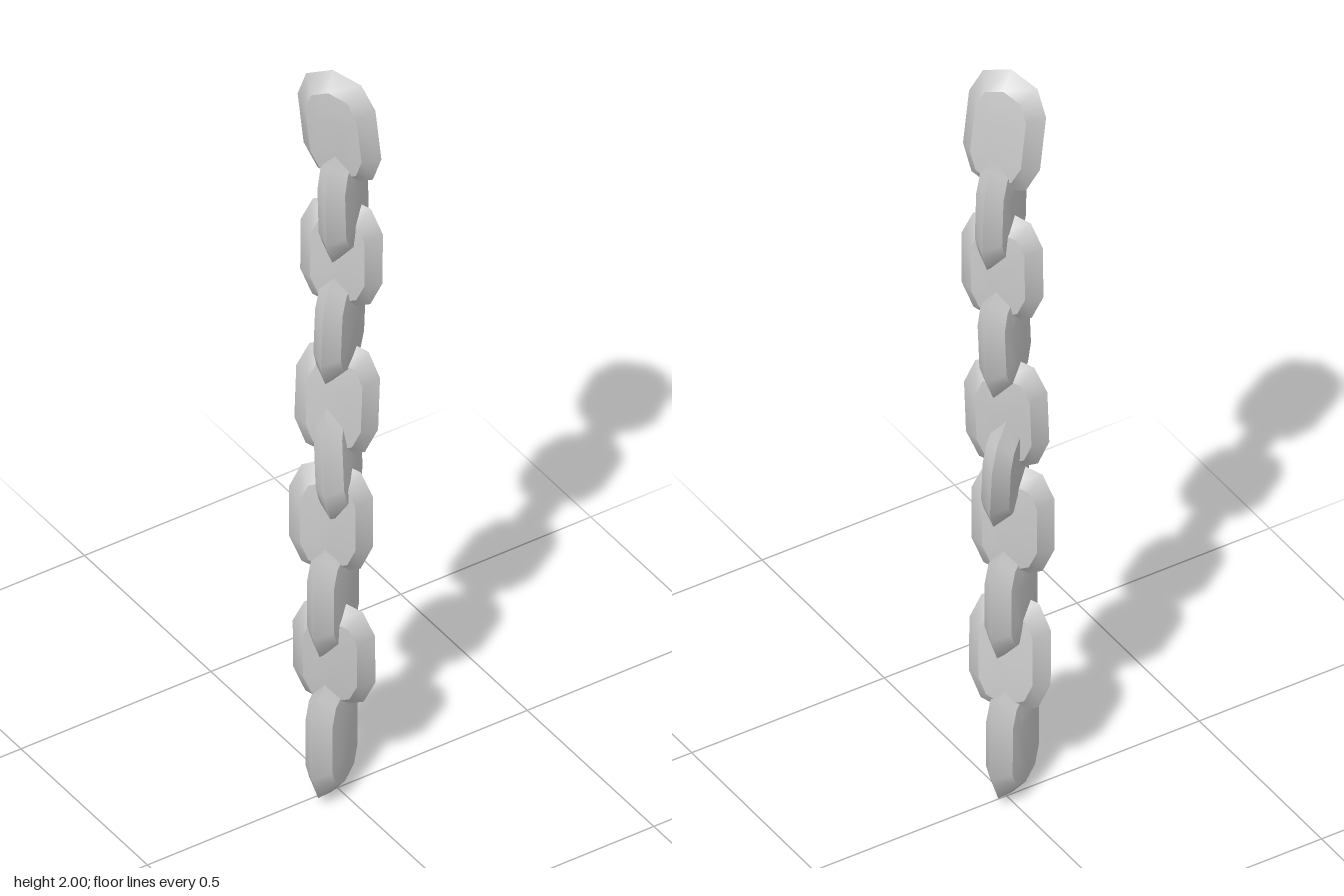
import * as THREE from 'three';
import { toCreasedNormals } from 'three/addons/utils/BufferGeometryUtils.js';

// Stadium outline: two half circles of four segments, joined by straight sides
function outline(r, h, z) {
  const pts = [];
  for (const side of [1, -1]) {
    for (let i = 0; i <= 4; i++) {
      const a = (i / 4) * Math.PI;
      pts.push([side * r * Math.cos(a), side * (h + r * Math.sin(a)), z]);
    }
  }
  return pts;
}

// Solid link: stacked outlines from the back face over a sharp rim to the front face
function linkGeometry() {
  const rings = [
    outline(0.032, 0.045, -0.037),
    outline(0.062, 0.062, -0.033),
    outline(0.094, 0.071, 0),
    outline(0.062, 0.062, 0.033),
    outline(0.032, 0.045, 0.037),
  ];
  const n = rings[0].length;
  const pos = rings.flat(2);
  const index = [];
  for (let k = 0; k < rings.length - 1; k++) {
    for (let i = 0; i < n; i++) {
      const j = (i + 1) % n;
      const a = k * n + i, b = k * n + j, c = a + n, d = b + n;
      index.push(a, b, d, a, d, c);
    }
  }
  // flat middles of both faces
  const last = (rings.length - 1) * n;
  for (let i = 1; i < n - 1; i++) {
    index.push(0, i + 1, i);
    index.push(last, last + i, last + i + 1);
  }
  const geo = new THREE.BufferGeometry();
  geo.setAttribute('position', new THREE.Float32BufferAttribute(pos, 3));
  geo.setIndex(index);
  return toCreasedNormals(geo, 0.55);
}

// Per link: top x, y, z, bottom x, y, z, and turn about the vertical in degrees
const LINKS = [
  [-0.018, 0.33, 0.003, -0.018, 0.0, 0.005, 30],
  [-0.024, 0.55, 0.021, -0.006, 0.23, -0.002, -50],
  [-0.015, 0.71, 0.005, -0.015, 0.39, 0.005, 30],
  [-0.018, 0.92, 0.002, -0.018, 0.6, 0.002, -46],
  [0.02, 1.08, -0.037, -0.006, 0.765, 0.022, 38],
  [0.012, 1.235, -0.01, -0.001, 0.91, -0.008, -46],
  [0.016, 1.445, -0.006, 0.003, 1.13, -0.005, 32],
  [0.014, 1.635, -0.003, 0.012, 1.32, -0.003, -50],
  [0.004, 1.795, 0.01, 0.014, 1.475, 0.008, 33],
  [-0.018, 2.0, 0.008, 0.016, 1.675, 0.012, -58],
];

export function createModel() {
  const group = new THREE.Group();
  group.name = 'chain';
  const geo = linkGeometry();
  const mat = new THREE.MeshStandardMaterial({ color: 0xcccccc });

  LINKS.forEach(([tx, ty, tz, bx, by, bz, turn], i) => {
    const top = new THREE.Vector3(tx, ty, tz);
    const bottom = new THREE.Vector3(bx, by, bz);
    const up = top.clone().sub(bottom).normalize();
    const a = THREE.MathUtils.degToRad(turn);
    const across = new THREE.Vector3(Math.cos(a), 0, -Math.sin(a));
    const normal = across.clone().cross(up).normalize();
    across.crossVectors(up, normal);

    const link = new THREE.Mesh(geo, mat);
    link.name = `chainLink${i + 1}`;
    link.quaternion.setFromRotationMatrix(new THREE.Matrix4().makeBasis(across, up, normal));
    link.position.copy(top).add(bottom).multiplyScalar(0.5);
    link.scale.y = top.distanceTo(bottom) / 0.33;
    group.add(link);
  });
  return group;
}
